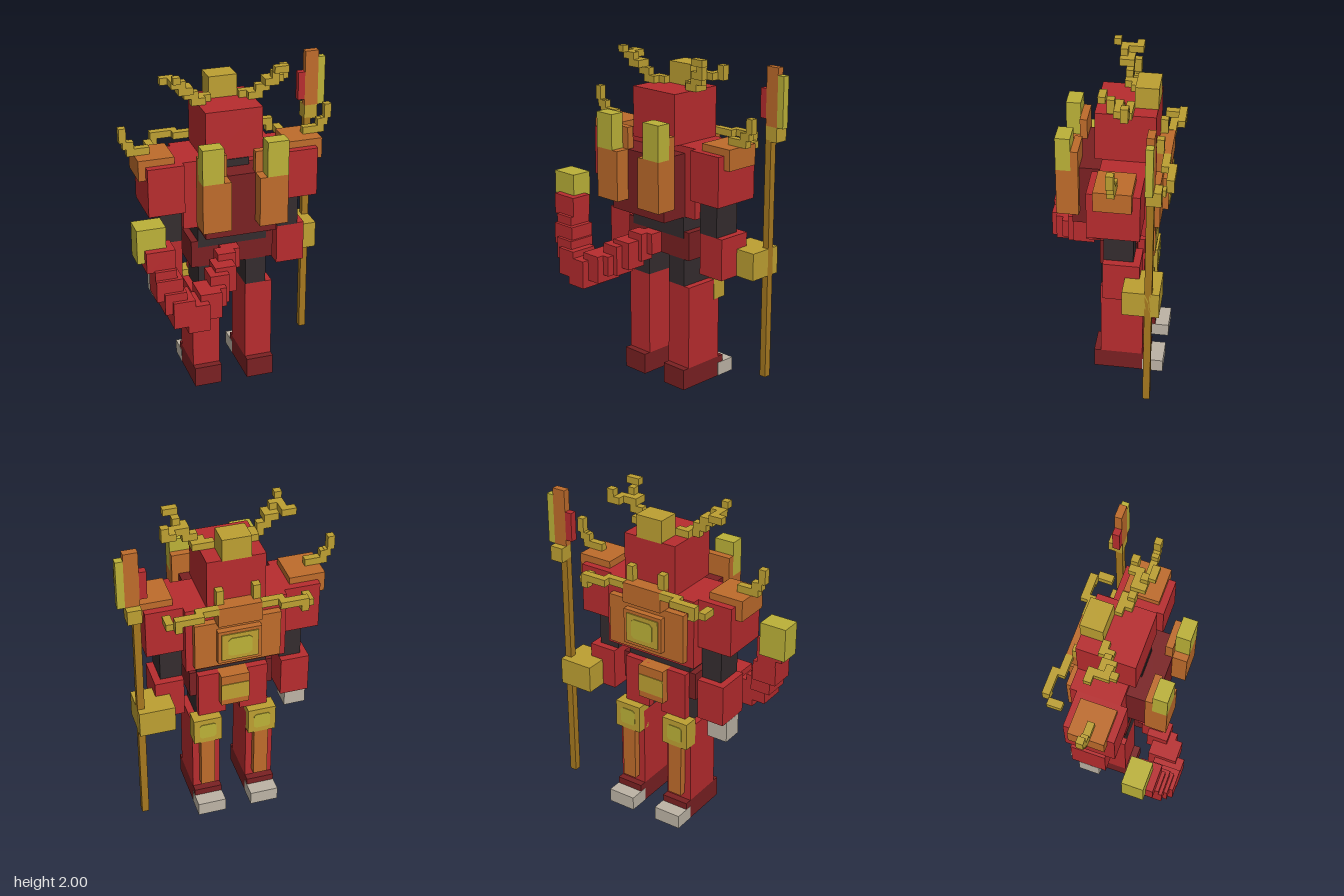
import * as THREE from 'three';

const mat = (name, color) => {
  const m = new THREE.MeshStandardMaterial({ color });
  m.name = name;
  return m;
};

export function createModel() {
  const red = mat('red', 0xb82c2e), dark = mat('dark red', 0x7a2022), black = mat('black', 0x342c2e);
  const gold = mat('gold', 0xbda032), olive = mat('yellow green', 0xbcb238), orange = mat('orange', 0xbf6c2b);
  const shaft = mat('bronze', 0xa6781f), grey = mat('grey', 0xbdb4a6);
  const model = new THREE.Group();
  const MID = -0.0225; // symmetry plane of the body

  // Box from its limits on each axis
  function box(name, m, x0, x1, y0, y1, z0, z1) {
    const mesh = new THREE.Mesh(new THREE.BoxGeometry(x1 - x0, y1 - y0, z1 - z0), m);
    mesh.position.set((x0 + x1) / 2, (y0 + y1) / 2, (z0 + z1) / 2);
    mesh.name = name;
    model.add(mesh);
    return mesh;
  }
  // The same box on both sides of the body
  function pair(name, m, x0, x1, ...rest) {
    box(name + 'Left', m, x0, x1, ...rest);
    box(name + 'Right', m, 2 * MID - x1, 2 * MID - x0, ...rest);
  }
  // Series of boxes, one per row of limits
  const chain = (name, m, rows) => rows.forEach((r, i) => box(name + (i + 1), m, ...r));
  // Thin eight-sided inlay facing -z
  function inlay(name, x, y, z, w, h) {
    const s = new THREE.Shape(), c = 0.25;
    [[-1, -1 + c], [-1 + c, -1], [1 - c, -1], [1, -1 + c], [1, 1 - c], [1 - c, 1], [-1 + c, 1], [-1, 1 - c]]
      .forEach(([a, b], i) => s[i ? 'lineTo' : 'moveTo'](a * w / 2, b * h / 2));
    const mesh = new THREE.Mesh(new THREE.ExtrudeGeometry(s, { depth: 0.006, bevelEnabled: false }), olive);
    mesh.position.set(x, y, z - 0.004);
    mesh.name = name;
    model.add(mesh);
  }

  // Legs
  pair('foot', dark, 0.06, 0.228, 0, 0.128, -0.275, 0.065);
  pair('toe', grey, 0.058, 0.23, -0.0, 0.086, -0.36, -0.232);
  pair('shin', red, 0.06, 0.228, 0.128, 0.64, -0.232, 0.023);
  pair('shinGuard', orange, 0.1, 0.187, 0.17, 0.515, -0.275, -0.232);
  pair('thigh', black, 0.06, 0.187, 0.64, 0.9, -0.19, 0.023);
  pair('knee', gold, 0.06, 0.23, 0.513, 0.683, -0.28, -0.188);
  [0.145, 2 * MID - 0.145].forEach((x, i) => inlay('kneeInlay' + (i + 1), x, 0.598, -0.28, 0.1, 0.1));

  // Hips
  box('hips', dark, -0.275, 0.228, 0.81, 0.98, -0.19, 0.026);
  pair('skirt', red, 0.02, 0.187, 0.685, 0.98, -0.232, -0.188);
  box('buckle', orange, -0.107, 0.062, 0.77, 0.98, -0.278, -0.19);
  box('bucklePlate', gold, -0.107, 0.062, 0.81, 0.92, -0.282, -0.276);
  box('waist', black, -0.235, 0.187, 0.938, 1.07, -0.19, 0.03);

  // Torso with layered chest plate
  box('torso', red, -0.318, 0.272, 1.07, 1.49, -0.277, 0.023);
  box('chestPlate', orange, -0.275, 0.23, 1.108, 1.408, -0.318, -0.275);
  box('chestFrame', orange, -0.15, 0.105, 1.15, 1.365, -0.354, -0.316);
  box('chestPanel', gold, -0.13, 0.085, 1.17, 1.345, -0.36, -0.352);
  inlay('chestInlay', MID, 1.258, -0.36, 0.14, 0.12);
  box('collar', orange, -0.15, 0.105, 1.408, 1.53, -0.36, -0.27);
  chain('collarHornRight', gold, [
    [-0.277, -0.146, 1.49, 1.532, -0.362, -0.318],
    [-0.405, -0.24, 1.49, 1.532, -0.405, -0.36],
    [-0.405, -0.363, 1.45, 1.492, -0.405, -0.36],
    [-0.448, -0.403, 1.45, 1.492, -0.365, -0.277]]);
  chain('collarHornLeft', gold, [
    [0.101, 0.232, 1.49, 1.532, -0.362, -0.318],
    [0.195, 0.36, 1.49, 1.532, -0.405, -0.36],
    [0.318, 0.36, 1.45, 1.492, -0.405, -0.36],
    [0.358, 0.403, 1.45, 1.492, -0.365, -0.277]]);

  // Backpack and its two upright pods
  box('backpack', dark, -0.235, 0.19, 1.07, 1.45, 0.02, 0.19);
  pair('podBody', orange, 0.062, 0.23, 1.15, 1.45, 0.147, 0.276);
  pair('podFin', orange, 0.062, 0.23, 1.45, 1.578, 0.147, 0.19);
  pair('podTop', olive, 0.105, 0.23, 1.45, 1.66, 0.19, 0.276);

  // Head
  box('neck', black, -0.107, 0.062, 1.45, 1.495, -0.19, 0.07);
  box('head', red, -0.192, 0.147, 1.49, 1.79, -0.277, 0.065);
  pair('cheek', gold, 0.062, 0.105, 1.53, 1.62, -0.32, -0.27);
  box('crest', gold, -0.107, 0.062, 1.785, 1.92, -0.28, -0.148);

  // Branching antlers
  chain('antlerRight', gold, [
    [-0.192, -0.107, 1.79, 1.832, -0.148, -0.105],
    [-0.235, -0.15, 1.79, 1.832, -0.105, -0.063],
    [-0.277, -0.192, 1.832, 1.875, -0.105, -0.063],
    [-0.32, -0.235, 1.875, 1.918, -0.105, -0.02],
    [-0.362, -0.277, 1.918, 1.96, -0.063, -0.02],
    [-0.362, -0.32, 1.96, 2.0, -0.02, 0.022],
    [-0.362, -0.32, 1.918, 1.96, -0.148, -0.063],
    [-0.405, -0.362, 1.918, 1.96, -0.148, -0.105]]);
  chain('antlerLeft', gold, [
    [0.062, 0.147, 1.79, 1.832, -0.148, -0.105],
    [0.105, 0.19, 1.79, 1.832, -0.148, -0.063],
    [0.147, 0.232, 1.832, 1.875, -0.105, -0.063],
    [0.19, 0.275, 1.875, 1.918, -0.105, -0.02],
    [0.232, 0.275, 1.918, 1.96, -0.063, -0.02],
    [0.232, 0.317, 1.96, 2.0, -0.02, 0.022],
    [0.275, 0.317, 1.875, 1.918, -0.148, -0.063],
    [0.315, 0.36, 1.875, 1.96, -0.148, -0.105]]);

  // Arms
  pair('shoulder', red, 0.272, 0.488, 1.195, 1.49, -0.235, 0.063);
  pair('shoulderPad', orange, 0.318, 0.53, 1.408, 1.532, -0.193, 0.02);
  pair('shoulderHornBase', gold, 0.44, 0.53, 1.532, 1.575, -0.105, -0.063);
  pair('shoulderHornMiddle', gold, 0.53, 0.573, 1.532, 1.617, -0.105, -0.063);
  pair('shoulderHornTip', gold, 0.573, 0.615, 1.617, 1.703, -0.105, -0.063);
  pair('shoulderHornLink', gold, 0.555, 0.595, 1.575, 1.62, -0.105, -0.063);
  pair('upperArm', black, 0.272, 0.402, 0.975, 1.195, -0.19, -0.02);
  pair('forearm', red, 0.272, 0.444, 0.73, 0.98, -0.232, -0.02);
  box('handRight', grey, -0.49, -0.36, 0.6, 0.73, -0.19, -0.063);
  box('handLeft', gold, 0.36, 0.572, 0.73, 0.895, -0.36, -0.148);

  // Staff
  box('staffShaft', shaft, 0.53, 0.572, 0.087, 1.54, -0.318, -0.276);
  box('staffGuard', gold, 0.53, 0.612, 1.532, 1.62, -0.36, -0.276);
  box('staffBlade', orange, 0.53, 0.612, 1.62, 1.96, -0.318, -0.276);
  box('staffBackEdge', red, 0.488, 0.53, 1.66, 1.832, -0.318, -0.276);
  box('staffFrontEdge', olive, 0.612, 0.655, 1.62, 1.918, -0.318, -0.276);

  // Curling tail
  chain('tailSegment', red, [
    [-0.107, 0.0, 0.81, 0.938, 0.02, 0.105],
    [-0.15, -0.04, 0.77, 0.938, 0.063, 0.15],
    [-0.192, -0.065, 0.73, 0.895, 0.105, 0.232],
    [-0.235, -0.12, 0.69, 0.87, 0.15, 0.275],
    [-0.277, -0.15, 0.69, 0.81, 0.19, 0.317],
    [-0.32, -0.192, 0.645, 0.81, 0.19, 0.36],
    [-0.405, -0.277, 0.6, 0.77, 0.232, 0.403],
    [-0.49, -0.362, 0.645, 0.81, 0.232, 0.403],
    [-0.533, -0.405, 0.73, 0.86, 0.21, 0.38],
    [-0.575, -0.42, 0.81, 0.938, 0.2, 0.36],
    [-0.575, -0.45, 0.938, 0.99, 0.195, 0.34],
    [-0.618, -0.45, 0.98, 1.105, 0.19, 0.318]]);
  box('tailTip', olive, -0.66, -0.492, 1.025, 1.232, 0.147, 0.276);

  return model;
}
